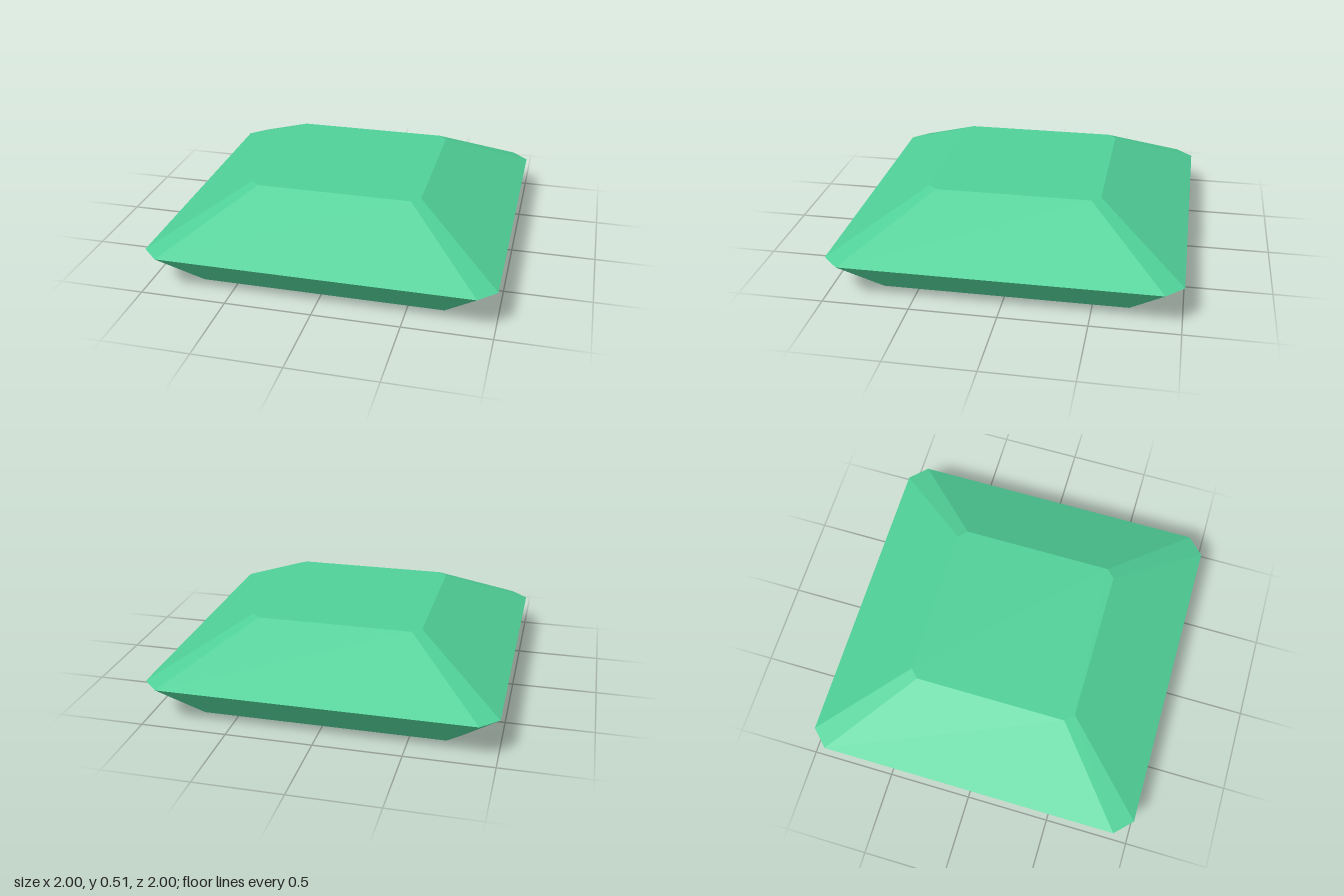
import * as THREE from 'three';

// Square ring with cut corners, counter-clockwise seen from above
function ring({ y, half, flat }) {
  const h = half, f = flat;
  return [[h, f], [h, -f], [f, -h], [-f, -h], [-h, -f], [-h, f], [-f, h], [f, h]]
    .map(([x, z]) => [x, y, z]);
}

// Sloped facets joining two rings, with a flat cap on the top or bottom
function facetBand(lower, upper, cap) {
  const a = ring(lower), b = ring(upper), n = a.length;
  const pos = [];
  const tri = (...points) => points.forEach((p) => pos.push(...p));
  for (let i = 0; i < n; i++) {
    const j = (i + 1) % n;
    tri(a[i], a[j], b[j]);
    tri(a[i], b[j], b[i]);
  }
  for (let i = 1; i < n - 1; i++) {
    if (cap === 'top') tri(b[0], b[i], b[i + 1]);
    else tri(a[0], a[i + 1], a[i]);
  }
  const geometry = new THREE.BufferGeometry();
  geometry.setAttribute('position', new THREE.Float32BufferAttribute(pos, 3));
  geometry.computeVertexNormals();
  return geometry;
}

export function createModel() {
  const group = new THREE.Group();
  group.name = 'cutGem';
  const gemGreen = new THREE.MeshStandardMaterial({ color: 0x50d098 });
  gemGreen.name = 'gemGreen';
  gemGreen.flatShading = true;

  const base = { y: 0, half: 0.78, flat: 0.705 };
  const girdle = { y: 0.227, half: 1, flat: 0.9 };
  const table = { y: 0.507, half: 0.5, flat: 0.45 };

  // Lower half flares out to the girdle; upper half slopes in to the flat table
  const pavilion = new THREE.Mesh(facetBand(base, girdle, 'bottom'), gemGreen);
  pavilion.name = 'pavilion';
  const crown = new THREE.Mesh(facetBand(girdle, table, 'top'), gemGreen);
  crown.name = 'crown';
  group.add(pavilion, crown);
  return group;
}
